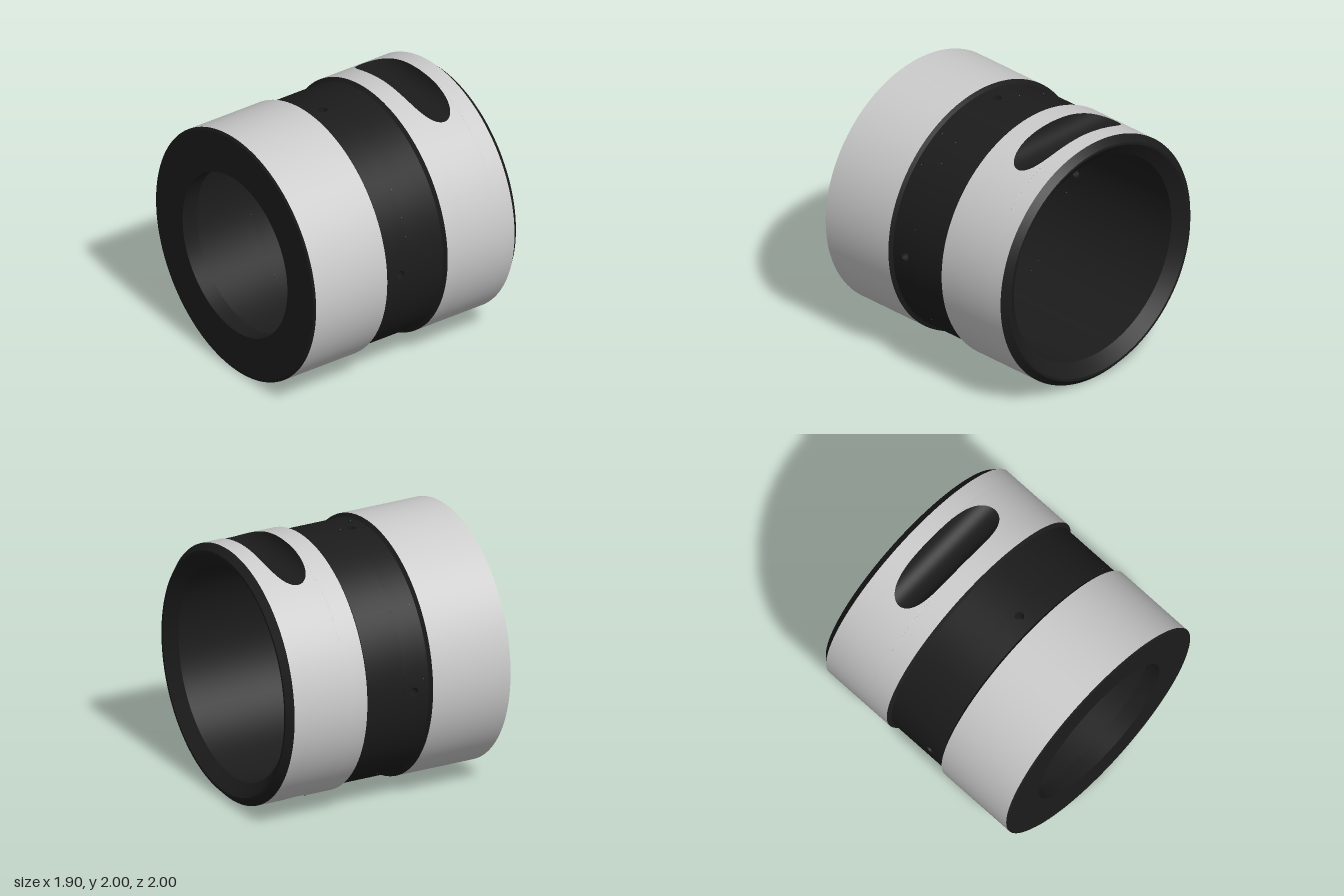
import * as THREE from 'three';
import { mergeGeometries, mergeVertices } from 'three/addons/utils/BufferGeometryUtils.js';

const SEG = 128;
const TAU = Math.PI * 2;
const lerp = (a, b, t) => a + (b - a) * t;

// Point on a circle of radius r around the x axis; angle 0 is up
const polar = (x, r, a) => [x, r * Math.cos(a), r * Math.sin(a)];

// Smooth grid surface through f(u, v), turned by `turn` about the x axis
function patch(f, nu, nv, turn = 0) {
  const pos = [], index = [];
  for (let i = 0; i <= nu; i++)
    for (let j = 0; j <= nv; j++) pos.push(...f(i / nu, j / nv));
  for (let i = 0; i < nu; i++)
    for (let j = 0; j < nv; j++) {
      const a = i * (nv + 1) + j, b = a + nv + 1;
      index.push(a, b, b + 1, a, b + 1, a + 1);
    }
  const g = new THREE.BufferGeometry();
  g.setAttribute('position', new THREE.Float32BufferAttribute(pos, 3));
  g.setIndex(index);
  const merged = mergeVertices(g, 1e-5);
  merged.computeVertexNormals();
  return merged.rotateX(turn);
}

// Conical or cylindrical strip, faces out when x decreases
const ring = ([x0, r0], [x1, r1], a0 = 0, a1 = TAU, n = SEG) =>
  patch((u, v) => polar(lerp(x0, x1, u), lerp(r0, r1, u), lerp(a0, a1, v)), 1, n);

const revolve = (pts) => pts.slice(1).map((p, i) => ring(pts[i], p));

// Oil holes: four radial bores
const HX = -0.135, HR = 0.035, HH = 0.08;
const onWall = (r, d, phi) => {
  const z = d * Math.sin(phi);
  return [HX + d * Math.cos(phi), Math.sqrt(r * r - z * z), z];
};

// Cylinder wall from xa to xb pierced by the four holes
function piercedWall(r, xa, xb) {
  const s = Math.sign(xa - xb);
  const e = Math.asin(HH / r);
  const xs = HX + s * HH, xe = HX - s * HH;
  const parts = [ring([xa, r], [xs, r]), ring([xe, r], [xb, r])];
  for (let k = 0; k < 4; k++) {
    const turn = k * Math.PI / 2;
    parts.push(ring([xs, r], [xe, r], e, Math.PI / 2 - e, SEG / 4).rotateX(turn));
    parts.push(patch((u, v) => {
      const phi = -s * v * TAU;
      const edge = HH / Math.max(Math.abs(Math.cos(phi)), Math.abs(Math.sin(phi)));
      return onWall(r, lerp(HR, edge, u), phi);
    }, 3, 32, turn));
  }
  return parts;
}

// Cross slots: round-bottomed cuts running along z at top and bottom
const SX = 0.605, SR = 0.157, SY = 1.01;
const SW = Math.sqrt(SR * SR - (SY - 1) ** 2);
const slotFloor = (x) =>
  Math.abs(x - SX) >= SW - 1e-6 ? 1 : Math.min(1, SY - Math.sqrt(SR * SR - (x - SX) ** 2));
const slotX = (u) => SX + SW * Math.cos(u * Math.PI);

export function createModel() {
  const model = new THREE.Group();
  const body = new THREE.Group();
  body.name = 'bushing';
  body.position.y = 1;
  model.add(body);

  const grey = new THREE.MeshStandardMaterial({ color: 0xcccccc });
  const dark = new THREE.MeshStandardMaterial({ color: 0x1c1c1c });
  const add = (name, parts, material) => {
    const mesh = new THREE.Mesh(mergeGeometries(parts), material);
    mesh.name = name;
    body.add(mesh);
  };

  // Ground outer bands
  add('rightBand', [ring([-0.28, 1], [-0.94, 1])], grey);

  const band = [ring([0.9, 1], [SX + SW, 1]), ring([SX - SW, 1], [0.28, 1])];
  const slots = [];
  for (let k = 0; k < 2; k++) {
    const turn = k * Math.PI;
    band.push(patch((u, v) => {
      const x = slotX(u), a = Math.acos(slotFloor(x));
      return polar(x, 1, lerp(a, Math.PI - a, v));
    }, 40, SEG / 2, turn));
    slots.push(patch((u, v) => {
      const x = slotX(u), y = slotFloor(x);
      return [x, y, lerp(-1, 1, v) * Math.sqrt(1 - y * y)];
    }, 40, 16, turn));
  }
  add('leftBand', band, grey);
  add('crossSlots', slots, dark);

  // Middle groove with sloped shoulders
  add('middleGroove', [
    ring([0.28, 1], [0.26, 0.97]),
    ...piercedWall(0.97, 0.26, -0.26),
    ring([-0.26, 0.97], [-0.28, 1]),
  ], dark);

  // Right end: small chamfer, flat flange, narrow bore and flange back
  add('endFlange', revolve([
    [-0.94, 1], [-0.95, 0.98], [-0.95, 0.655], [-0.82, 0.655], [-0.82, 0.83],
  ]), dark);

  // Wide bore
  add('wideBore', piercedWall(0.83, -0.82, 0.87), dark);

  // Left end: tapered mouth, rim and outer chamfer
  add('openRim', revolve([[0.87, 0.83], [0.95, 0.93], [0.95, 0.95], [0.9, 1]]), dark);

  // Lining of the oil holes through the wall
  const bores = [];
  for (let k = 0; k < 4; k++)
    bores.push(patch((u, v) => onWall(lerp(0.97, 0.83, u), HR, v * TAU), 1, 32, k * Math.PI / 2));
  add('oilHoles', bores, dark);

  return model;
}
